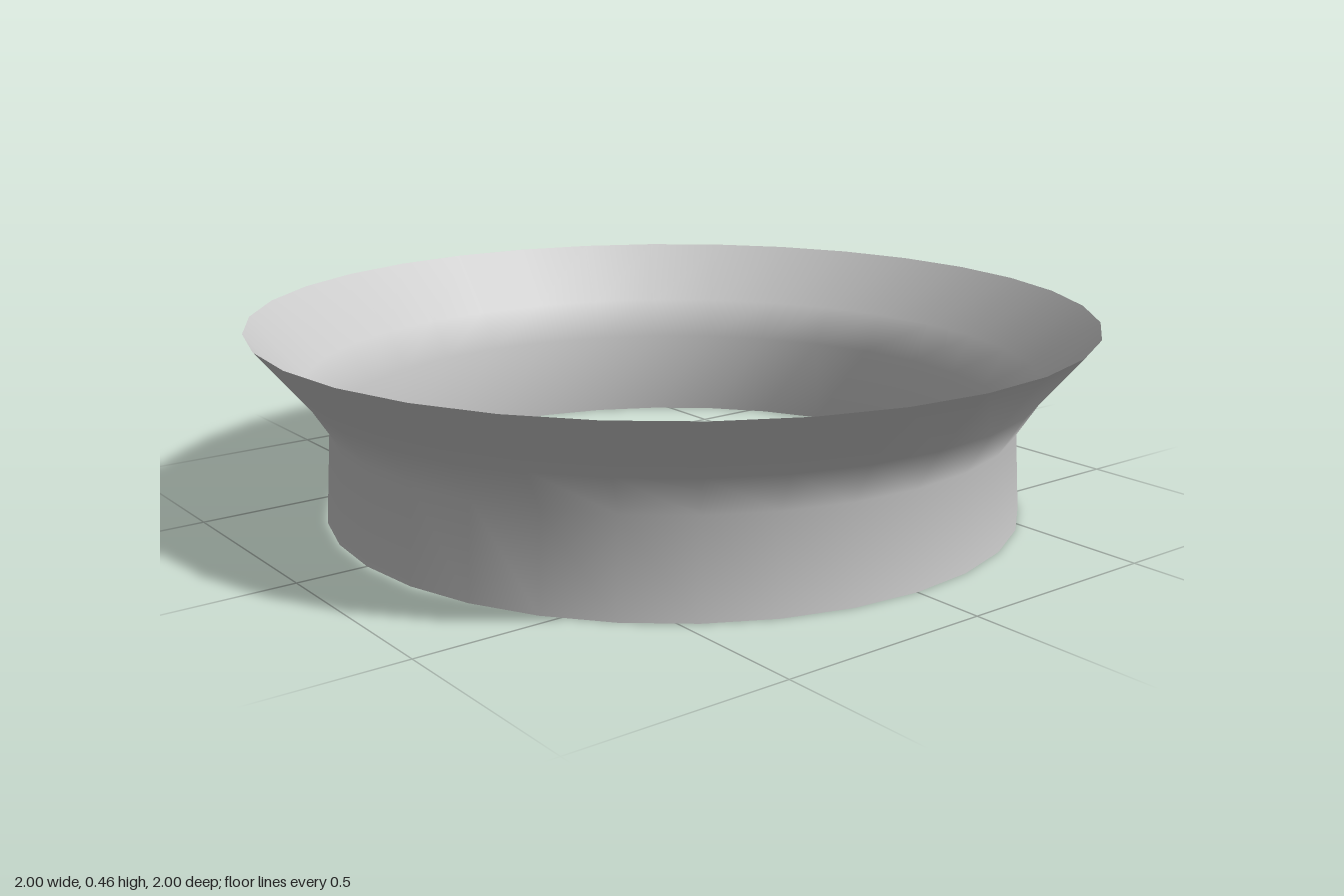
import * as THREE from 'three';

export function createModel() {
  const group = new THREE.Group();
  group.name = 'flaredRing';

  // Thin open collar: slightly tapered wall, narrow waist, flared rim
  const profile = [
    [0.835, 0],
    [0.82, 0.22],
    [0.88, 0.315],
    [1, 0.46],
  ].map(([r, y]) => new THREE.Vector2(r, y));

  const collar = new THREE.Mesh(
    new THREE.LatheGeometry(profile, 32),
    new THREE.MeshStandardMaterial({ color: 0xcccccc, side: THREE.DoubleSide })
  );
  collar.name = 'flaredCollar';
  group.add(collar);

  return group;
}
